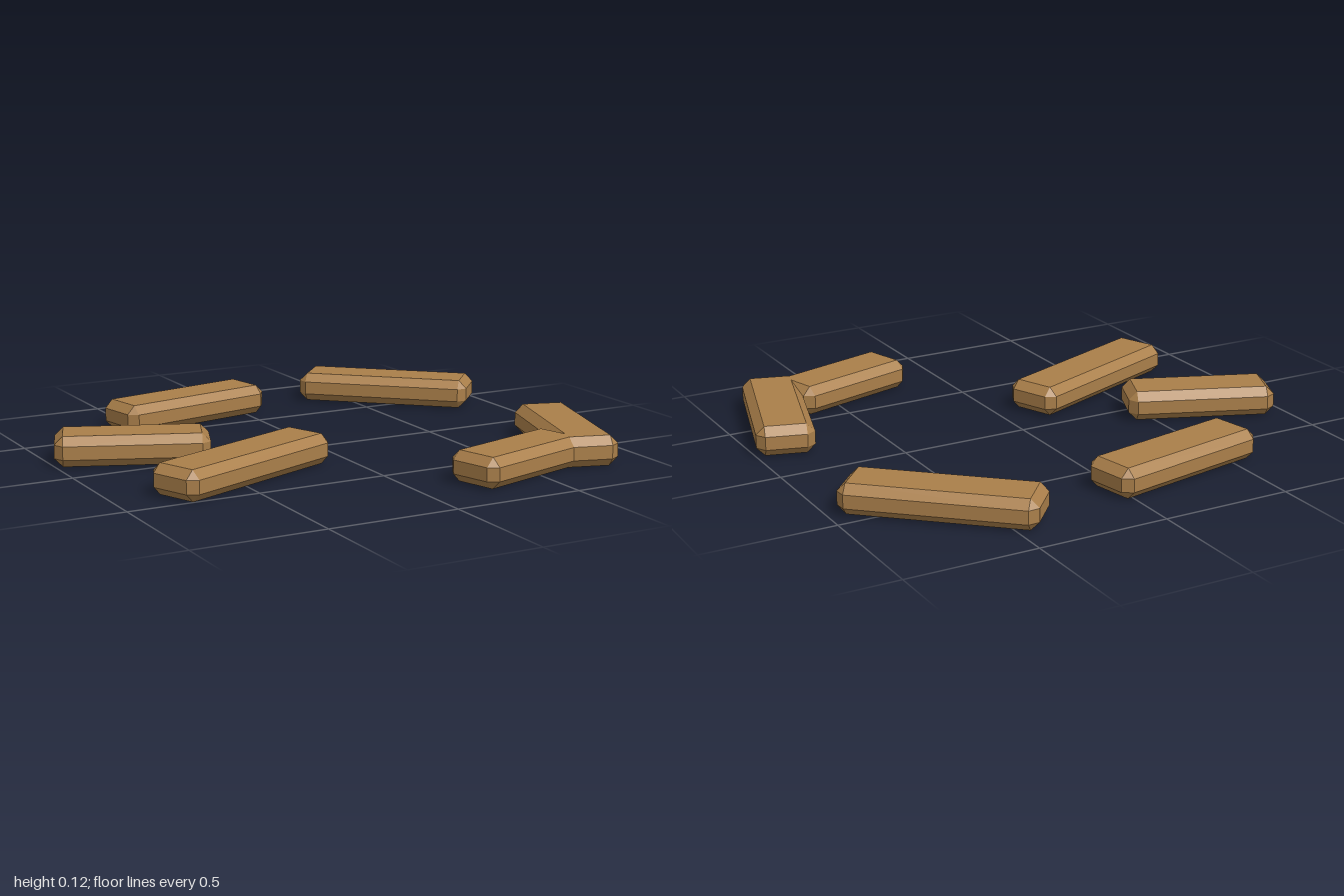
import * as THREE from 'three';
import { ConvexGeometry } from 'three/addons/geometries/ConvexGeometry.js';

const HEIGHT = 0.115;
const WIDTH = 0.22;
const BEVEL = 0.032;

// Box with every edge and corner chamfered
function chamferedBox(length, height, width, c) {
  const [x, y, z] = [length / 2, height / 2, width / 2];
  const points = [];
  for (const sx of [-1, 1]) for (const sy of [-1, 1]) for (const sz of [-1, 1]) {
    points.push(
      new THREE.Vector3(sx * x, sy * (y - c), sz * (z - c)),
      new THREE.Vector3(sx * (x - c), sy * y, sz * (z - c)),
      new THREE.Vector3(sx * (x - c), sy * (y - c), sz * z)
    );
  }
  return new ConvexGeometry(points);
}

export function createModel() {
  const group = new THREE.Group();
  group.name = 'scatteredPlanks';
  const wood = new THREE.MeshStandardMaterial({ color: 0xaa7f4a, flatShading: true });
  wood.name = 'wood';

  // Planks: name, centre x, centre z, length, turn in degrees
  const planks = [
    ['backLeftPlank', 0.642, -0.583, 0.712, -42],
    ['backRightPlank', -0.26, -0.647, 0.666, 11.3],
    ['sideRightPlank', -0.706, -0.142, 0.575, -22],
    ['frontRightPlank', -0.463, 0.294, 0.754, 22],
    ['sideLeftPlank', 0.811, 0.474, 0.622, 73.5],
    ['frontLeftPlank', 0.442, 0.7, 0.522, 16.4]
  ];
  for (const [name, x, z, length, turn] of planks) {
    const plank = new THREE.Mesh(chamferedBox(length, HEIGHT, WIDTH, BEVEL), wood);
    plank.name = name;
    plank.position.set(x, HEIGHT / 2, z);
    plank.rotation.y = THREE.MathUtils.degToRad(turn);
    group.add(plank);
  }
  return group;
}
